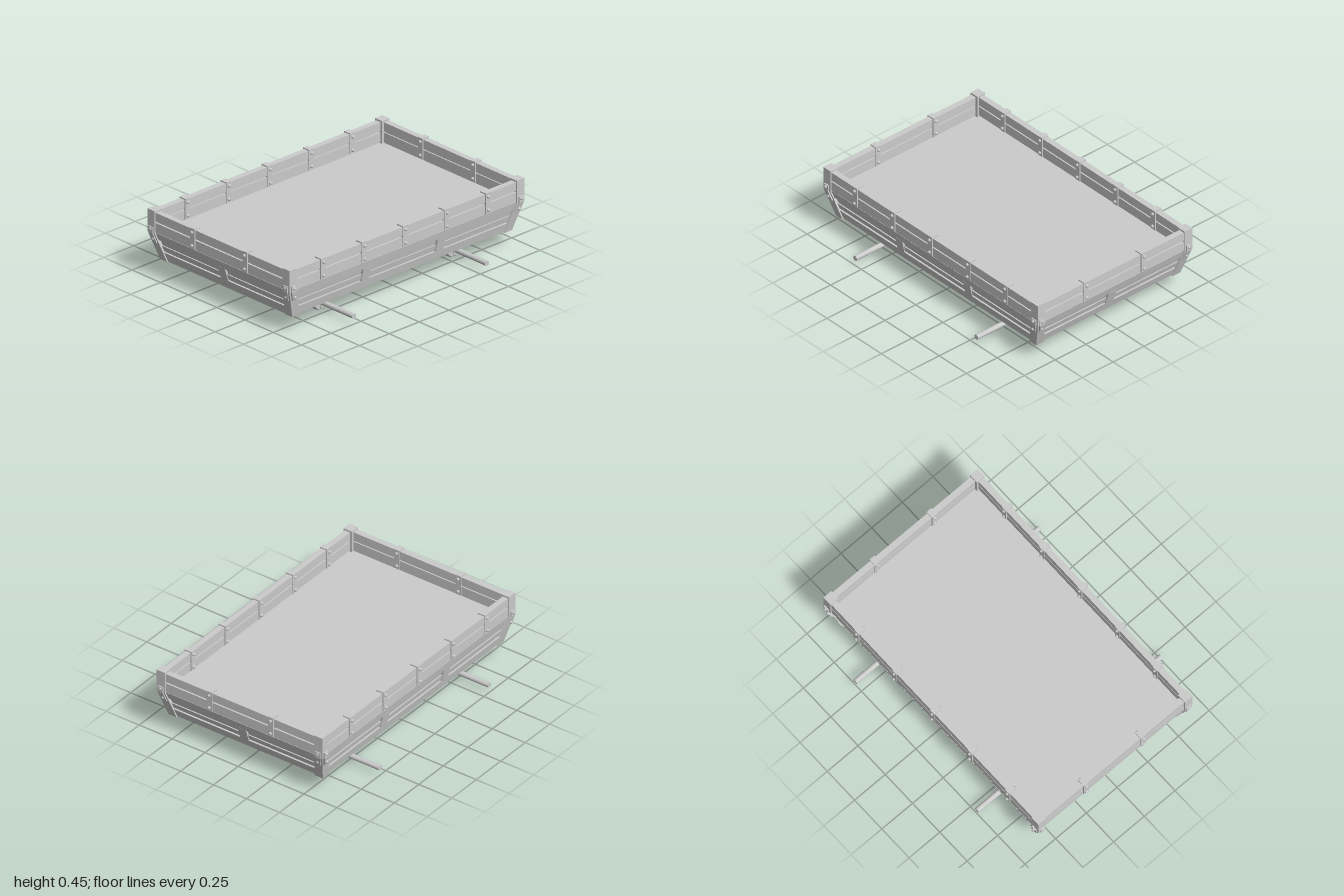
import * as THREE from 'three';

const BEND = 0.3, BASE = 0.11;       // walls are upright above BEND, lean inwards below it
const HALF = { x: 0.977, z: 0.62 };  // outer plank faces
const LEAN = { x: 0.062, z: 0.042 }; // inward shift at the base
const lean = (axis, y) => LEAN[axis] * Math.max(0, BEND - y) / (BEND - BASE);

const flat = new THREE.MeshStandardMaterial({ color: 0xcccccc, flatShading: true });
const smooth = new THREE.MeshStandardMaterial({ color: 0xcccccc });

function add(parent, name, geometry, material = flat) {
  const mesh = new THREE.Mesh(geometry, material);
  mesh.name = name;
  parent.add(mesh);
  return mesh;
}

function bolt(parent, x, y, z) {
  add(parent, 'bolt', new THREE.SphereGeometry(0.011, 10, 8), smooth).position.set(x, y, z);
}

// Bar that follows the wall's lean: inner and outer are offsets from the plank face
function bar(parent, name, axis, y0, y1, inner, outer, length, u = 0) {
  const w = y => HALF[axis] - lean(axis, y);
  const shape = new THREE.Shape([
    new THREE.Vector2(w(y0) + inner, y0), new THREE.Vector2(w(y0) + outer, y0),
    new THREE.Vector2(w(y1) + outer, y1), new THREE.Vector2(w(y1) + inner, y1),
  ]);
  const g = new THREE.ExtrudeGeometry(shape, { depth: length, bevelEnabled: false });
  g.rotateY(-Math.PI / 2).translate(u + length / 2, 0, 0);
  return add(parent, name, g);
}

// One wall, built facing +z and turned into place
function wall(name, axis, turn, straps, cleats) {
  const g = new THREE.Group();
  g.name = name;
  const other = axis === 'z' ? 'x' : 'z';
  const span = y => 2 * (HALF[other] - lean(other, y) - 0.03);
  const planks = [
    [0.38, 0.438, -0.04, 0], [0.306, 0.37, -0.04, 0],
    [0.255, 0.304, -0.03, 0], [0.178, 0.214, -0.03, -0.005], [0.112, 0.167, -0.03, 0],
  ];
  for (const [y0, y1, inner, outer] of planks)
    bar(g, 'plank', axis, y0, y1, inner, outer, span((y0 + y1) / 2));
  bar(g, 'wallCore', axis, 0.29, 0.43, -0.03, -0.012, span(0.4));

  // Clamps over the upper planks, bolted through
  for (const u of straps) {
    bar(g, 'strap', axis, 0.307, 0.446, -0.046, 0.007, 0.04, u);
    for (const y of [0.33, 0.42])
      for (const w of [-0.048, 0.009]) bolt(g, u, y, HALF[axis] + w);
  }
  // Short uprights between the lower planks
  for (const u of cleats) bar(g, 'cleat', axis, 0.165, 0.257, -0.02, 0.001, 0.065, u);
  g.rotation.y = turn;
  return g;
}

// Upright box at a corner that bends with both walls
function bentBox(sx, sz, cx, cz, width, depth, y0, y1) {
  const g = new THREE.BoxGeometry(width, 2, depth, 1, 2, 1);
  const p = g.attributes.position;
  for (let i = 0; i < p.count; i++) {
    const level = p.getY(i);
    const y = level < -0.5 ? y0 : level > 0.5 ? y1 : BEND;
    p.setXYZ(i, p.getX(i) + sx * (cx - lean('x', y)), y, p.getZ(i) + sz * (cz - lean('z', y)));
  }
  g.computeVertexNormals();
  return g;
}

function corner(sx, sz) {
  const g = new THREE.Group();
  g.name = 'corner';
  add(g, 'cornerPost', bentBox(sx, sz, 0.954, 0.597, 0.063, 0.063, 0.106, 0.45));
  add(g, 'cornerBracket', bentBox(sx, sz, 0.954, 0.631, 0.038, 0.014, 0.235, 0.34));
  add(g, 'cornerBracket', bentBox(sx, sz, 0.986, 0.597, 0.014, 0.038, 0.235, 0.34));
  for (const y of [0.325, 0.258]) {
    const dx = lean('x', y), dz = lean('z', y);
    bolt(g, sx * (0.954 - dx), y, sz * (0.638 - dz));
    bolt(g, sx * (0.99 - dx), y, sz * (0.597 - dz));
  }
  return g;
}

// Axle block made of two bevelled halves meeting at a centre seam
function axleBlock(parent, name, z, length) {
  const b = 0.005;
  for (const s of [-1, 1]) {
    const pts = [[0.001 + b, b], [0.022, b], [0.054 - b, 0.034], [0.054 - b, 0.116], [0.001 + b, 0.116]];
    const shape = new THREE.Shape(pts.map(([x, y]) => new THREE.Vector2(s * x, y)));
    const geo = new THREE.ExtrudeGeometry(shape, {
      depth: length - 2 * b, bevelThickness: b, bevelSize: b, bevelSegments: 1,
    });
    geo.translate(0, 0, z - length / 2 + b);
    add(parent, name, geo);
  }
}

function axleSet(x) {
  const g = new THREE.Group();
  g.name = 'axleSet';
  const axle = add(g, 'axle', new THREE.CylinderGeometry(0.017, 0.017, 1.5, 20), smooth);
  axle.rotation.x = Math.PI / 2;
  axle.position.y = 0.052;
  axleBlock(g, 'centreBlock', 0, 0.29);
  for (const s of [-1, 1]) axleBlock(g, 'bearingBlock', s * 0.417, 0.076);
  g.position.x = x;
  return g;
}

export function createModel() {
  const model = new THREE.Group();
  model.name = 'cargoBed';

  // Solid bed, tapering to the base
  const bed = new THREE.BoxGeometry(2, 2, 2);
  const p = bed.attributes.position;
  for (let i = 0; i < p.count; i++) {
    const y = p.getY(i) > 0 ? 0.297 : 0.113;
    p.setXYZ(i, p.getX(i) * (HALF.x - 0.014 - lean('x', y)), y,
      p.getZ(i) * (HALF.z - 0.014 - lean('z', y)));
  }
  bed.computeVertexNormals();
  add(model, 'bed', bed);

  const longStraps = [-0.7, -0.355, -0.01, 0.338, 0.683], longCleats = [-0.315, 0.308];
  const endStraps = [-0.23, 0.235];
  const flip = list => list.map(u => -u);
  model.add(
    wall('frontWall', 'z', 0, longStraps, longCleats),
    wall('backWall', 'z', Math.PI, flip(longStraps), flip(longCleats)),
    wall('leftWall', 'x', Math.PI / 2, endStraps, [0]),
    wall('rightWall', 'x', -Math.PI / 2, flip(endStraps), [0]),
  );
  for (const sx of [-1, 1]) {
    for (const sz of [-1, 1]) model.add(corner(sx, sz));
    model.add(axleSet(sx * 0.558));
  }
  return model;
}
